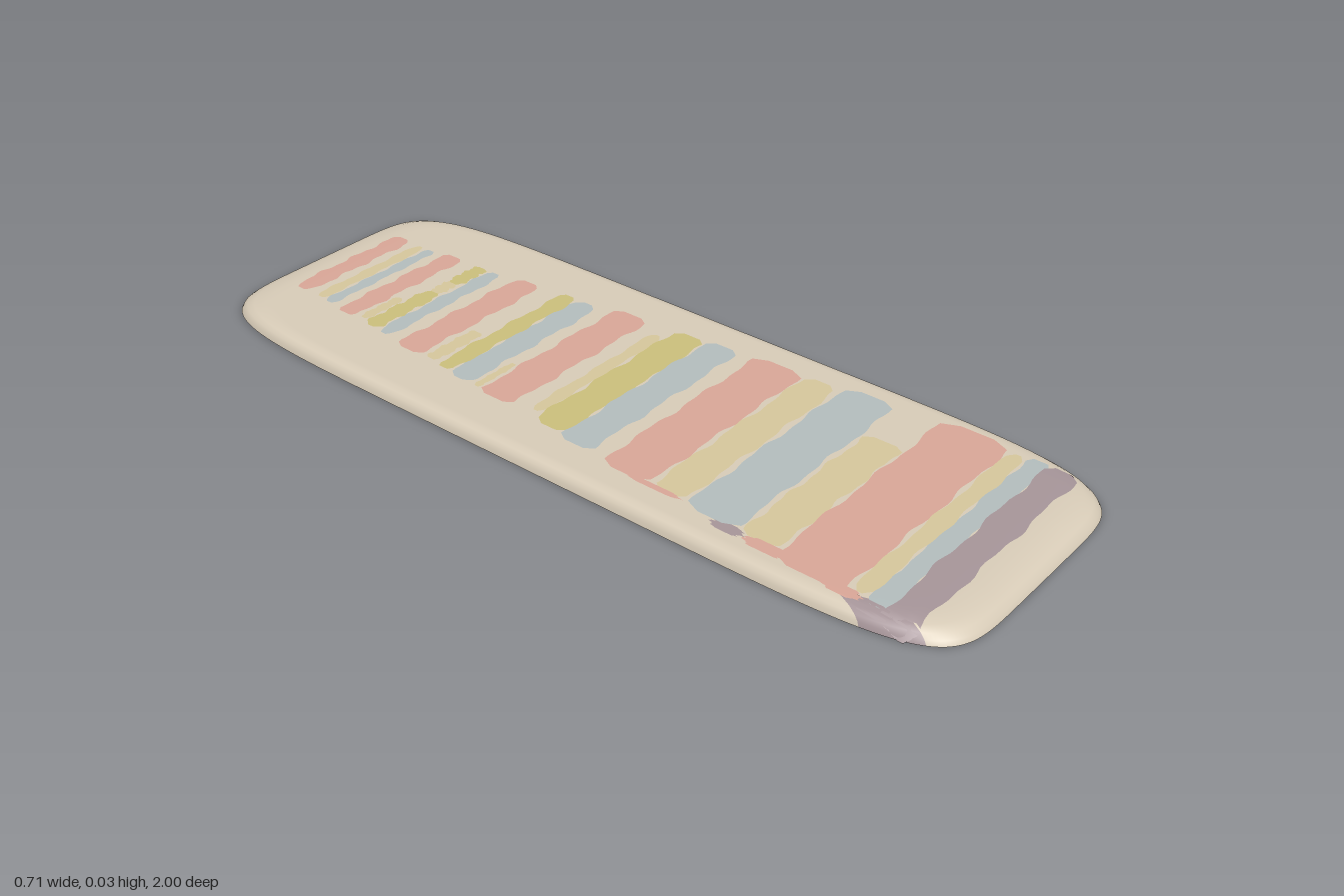
import * as THREE from 'three';

const HALF_W = 0.355, POWER = 6.8;
// Edge section: [fraction of the outline, height]
const PROFILE = [[1, 0], [0.994, 0.01], [0.982, 0.019], [0.962, 0.026], [0.93, 0.0295], [0.9, 0.03], [0, 0.03]];

const mat = (name, color) => {
  const m = new THREE.MeshStandardMaterial({ color, side: THREE.DoubleSide });
  m.name = name;
  return m;
};

// Height of the shell above a point of the plan
function heightAt(x, z) {
  const s = (Math.abs(x / HALF_W) ** POWER + Math.abs(z) ** POWER) ** (1 / POWER);
  for (let i = 1; i < PROFILE.length; i++) {
    const [s0, y0] = PROFILE[i - 1], [s1, y1] = PROFILE[i];
    if (s >= s1) return y0 + (y1 - y0) * Math.min(1, Math.max(0, (s0 - s) / (s0 - s1)));
  }
  return 0.03;
}

function buildGeometry(positions, index) {
  const g = new THREE.BufferGeometry();
  g.setAttribute('position', new THREE.Float32BufferAttribute(positions, 3));
  g.setIndex(index);
  g.computeVertexNormals();
  return g;
}

// Open-bottomed rounded shell, with a painted patch on one corner
function shellGeometry() {
  const N = 160, pos = [], plain = [], painted = [];
  const bend = (v) => Math.sign(v) * Math.abs(v) ** (2 / POWER);
  for (const [s, y] of PROFILE)
    for (let i = 0; i < N; i++) {
      const t = (i / N) * Math.PI * 2;
      pos.push(HALF_W * s * bend(Math.cos(t)), y, s * bend(Math.sin(t)));
    }
  for (let k = 0; k < PROFILE.length - 1; k++)
    for (let i = 0; i < N; i++) {
      const j = (i + 1) % N, a = k * N + i, b = k * N + j, c = a + N, d = b + N;
      const x = pos[i * 3], z = pos[i * 3 + 2];
      const onPatch = k < 5 && x < 0 && z > 0.82 && z < 0.935;
      (onPatch ? painted : plain).push(a, c, b, b, c, d);
    }
  const g = buildGeometry(pos, [...plain, ...painted]);
  g.addGroup(0, plain.length, 0);
  g.addGroup(plain.length, painted.length, 1);
  return g;
}

// Brushed stripe with wavy edges, laid on the shell at a small offset
function stripeGeometry(x0, x1, z0, z1, seed, offset) {
  const cols = 36, rows = 4, pos = [], index = [];
  const depth = z1 - z0, wobble = Math.min(0.006, depth * 0.12);
  const wave = (u, p) => (Math.sin(u * 19 + p) + 0.6 * Math.sin(u * 43 + p * 2.3)) / 1.6;
  for (let i = 0; i <= cols; i++) {
    const u = i / cols, x = x0 + (x1 - x0) * u;
    const d = Math.min(x - x0, x1 - x) / 0.018;
    const round = d < 1 ? 0.25 * depth * (1 - d) ** 2 : 0;
    const za = z0 + wobble * wave(u, seed) + round;
    const zb = z1 + wobble * wave(u, seed + 4) - round;
    for (let r = 0; r <= rows; r++) {
      const z = za + (zb - za) * (r / rows);
      pos.push(x, heightAt(x, z) + offset, z);
      if (i < cols && r < rows) {
        const a = i * (rows + 1) + r, b = a + rows + 1;
        index.push(a, a + 1, b, b, a + 1, b + 1);
      }
    }
  }
  return buildGeometry(pos, index);
}

export function createModel() {
  const model = new THREE.Group();
  model.name = 'stripedBoard';
  const base = mat('beige', 0xd8ccb8);
  const red = mat('fadedRed', 0xd9a697);
  const blue = mat('fadedBlue', 0xb3bdbd);
  const yellow = mat('oliveYellow', 0xcbbf7c);
  const sand = mat('paleSand', 0xd6c79c);
  const plum = mat('dustyPlum', 0xa69599);

  const shell = new THREE.Mesh(shellGeometry(), [base, plum]);
  shell.name = 'boardShell';
  model.add(shell);

  // Stripes from back to front: colour, x range, z range
  const stripes = [
    [red, -0.165, 0.17, -0.91, -0.86],
    [sand, -0.165, 0.165, -0.835, -0.805],
    [blue, -0.17, 0.165, -0.8, -0.77],
    [red, -0.18, 0.18, -0.745, -0.69],
    [sand, -0.17, -0.05, -0.68, -0.655],
    [yellow, -0.185, 0.02, -0.65, -0.605],
    [sand, 0.02, 0.09, -0.645, -0.61],
    [yellow, 0.08, 0.18, -0.645, -0.605],
    [blue, -0.19, 0.18, -0.6, -0.56],
    [red, -0.205, 0.2, -0.525, -0.45],
    [sand, -0.2, -0.05, -0.435, -0.4],
    [yellow, -0.21, 0.21, -0.39, -0.345],
    [blue, -0.22, 0.21, -0.345, -0.28],
    [sand, -0.22, -0.1, -0.268, -0.25],
    [red, -0.23, 0.235, -0.243, -0.15],
    [sand, -0.21, 0.2, -0.11, -0.078],
    [yellow, -0.24, 0.245, -0.075, 0.01],
    [blue, -0.255, 0.255, 0.01, 0.095],
    [red, -0.27, 0.27, 0.135, 0.26],
    [sand, -0.27, 0.27, 0.268, 0.35],
    [blue, -0.28, 0.29, 0.36, 0.485],
    [sand, -0.28, 0.16, 0.495, 0.585],
    [red, -0.31, 0.31, 0.59, 0.75],
    [sand, -0.29, 0.29, 0.755, 0.795],
    [blue, -0.305, 0.3, 0.795, 0.845],
    [plum, -0.328, 0.3, 0.84, 0.91],
    // drips along one side
    [red, -0.277, -0.262, 0.19, 0.36],
    [plum, -0.3, -0.272, 0.43, 0.51],
    [red, -0.305, -0.275, 0.51, 0.62],
    [red, -0.318, -0.29, 0.7, 0.79],
    [plum, -0.327, -0.296, 0.77, 0.86],
  ];
  stripes.forEach(([material, x0, x1, z0, z1], i) => {
    const stripe = new THREE.Group();
    stripe.name = 'stripe' + (i + 1);
    const lift = 0.0008 + (i % 3) * 0.0003;
    // one face on top, one on the underside of the shell
    for (const [name, offset] of [['stripeTop', lift], ['stripeUnderside', -lift]]) {
      const mesh = new THREE.Mesh(stripeGeometry(x0, x1, z0, z1, i * 1.7, offset), material);
      mesh.name = name;
      stripe.add(mesh);
    }
    model.add(stripe);
  });
  return model;
}
